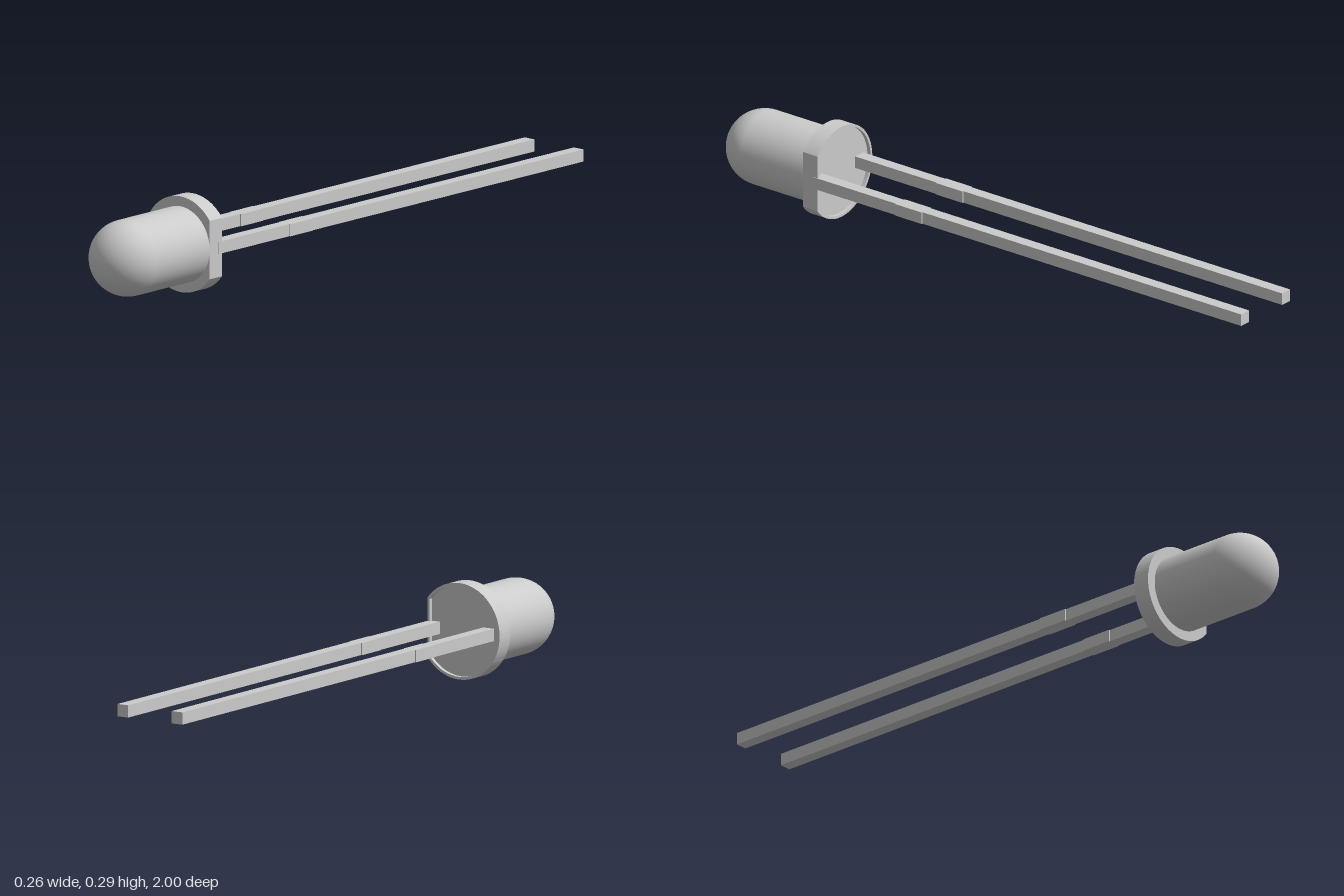
import * as THREE from 'three';
import { toCreasedNormals } from 'three/addons/utils/BufferGeometryUtils.js';

const CX = 0.0125, CY = 0.147; // axis of the bulb
const FLAT = 0.115;            // distance from the axis to the flat side

// Circle with its +x side cut flat
function flatSidedCircle(path, radius, flat) {
  const a = Math.acos(flat / radius);
  path.moveTo(radius * Math.cos(a), radius * Math.sin(a));
  path.absarc(0, 0, radius, a, Math.PI * 2 - a, false);
  path.closePath();
  return path;
}

function extrude(shape, depth) {
  const geo = new THREE.ExtrudeGeometry(shape, { depth, bevelEnabled: false, curveSegments: 64 });
  return toCreasedNormals(geo, 0.5);
}

export function createModel() {
  const model = new THREE.Group();
  const material = new THREE.MeshStandardMaterial({ color: 0xcccccc });
  const add = (name, geometry, x, y, z) => {
    const mesh = new THREE.Mesh(geometry, material);
    mesh.name = name;
    mesh.position.set(x, y, z);
    model.add(mesh);
    return mesh;
  };

  // Lens: cylinder ending in a hemispherical dome
  const R = 0.115;
  const profile = [new THREE.Vector2(R, 0.62)];
  for (let i = 0; i <= 24; i++) {
    const t = (i / 24) * Math.PI / 2;
    profile.push(new THREE.Vector2(i === 24 ? 0 : R * Math.cos(t), 0.885 + R * Math.sin(t)));
  }
  add('lens', new THREE.LatheGeometry(profile, 64).rotateX(Math.PI / 2), CX, CY, 0);

  // Flange: solid disc with a thin raised rim around its back
  add('flange', extrude(flatSidedCircle(new THREE.Shape(), 0.145, FLAT), 0.043), CX, CY, 0.607);
  const rim = flatSidedCircle(new THREE.Shape(), 0.145, FLAT);
  rim.holes.push(flatSidedCircle(new THREE.Path(), 0.137, FLAT - 0.008));
  add('flangeRim', extrude(rim, 0.012), CX, CY, 0.595);

  // Leads: square wires, slightly widened partway along
  const w = 0.019, b = 0.0225, thickness = 0.037;
  const side = [[w, -1], [w, 0.2], [b, 0.2], [b, 0.3], [w, 0.3], [w, 0.61]];
  const outline = [...side, ...side.map(([x, z]) => [-x, z]).reverse()];
  const leadShape = new THREE.Shape(outline.map(([x, z]) => new THREE.Vector2(x, z)));
  const leadGeo = extrude(leadShape, thickness).rotateX(Math.PI / 2);
  for (const s of [-1, 1]) {
    add(s > 0 ? 'leftLead' : 'rightLead', leadGeo, CX + s * 0.0975, CY + thickness / 2, 0);
  }
  return model;
}
